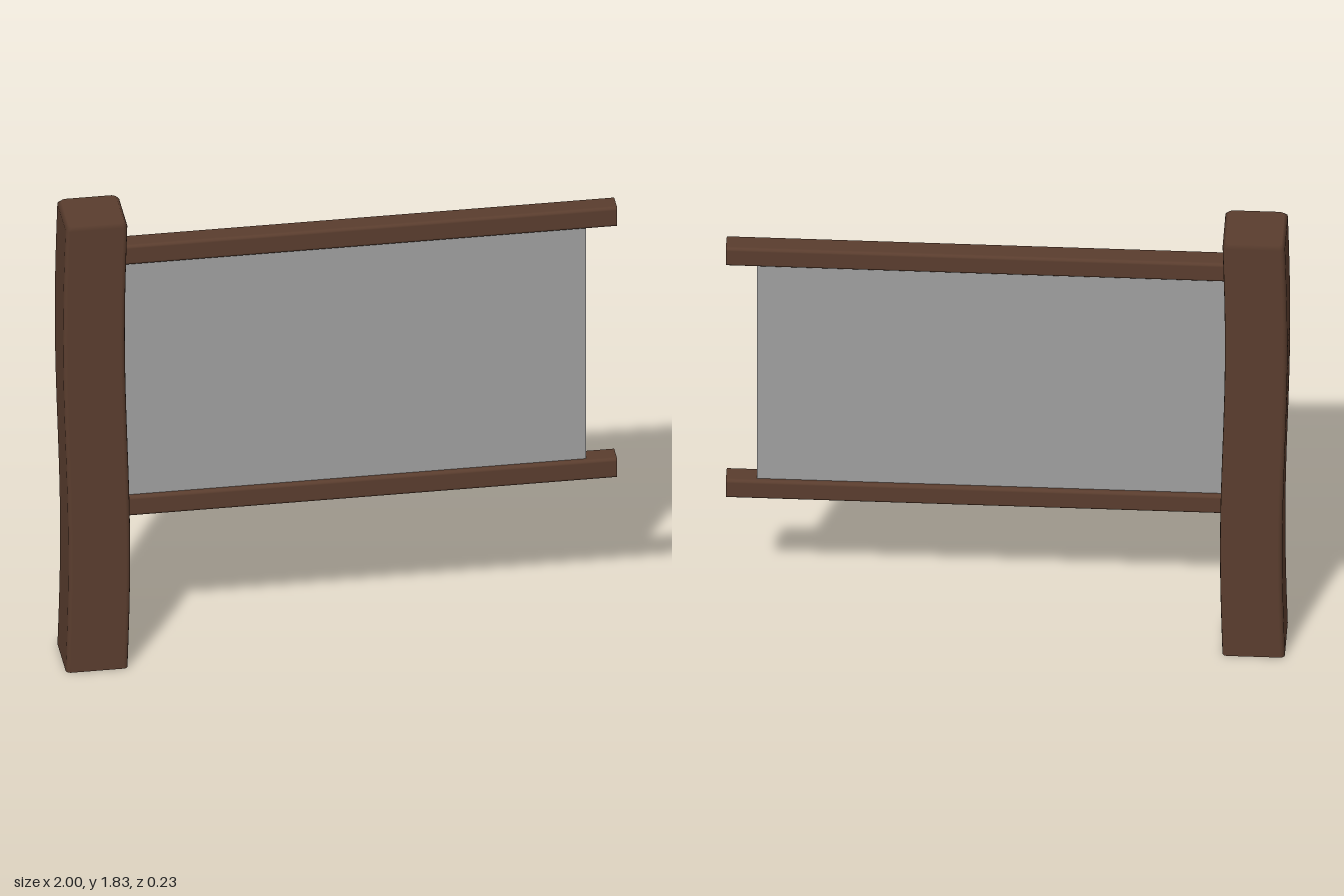
import * as THREE from 'three';

// Rounded-square tube lofted along y; rings: [y, halfWidth, centreX, centreZ, upward normal?]
function loft(rings, radius, steps = 3) {
  const pos = [], nor = [], idx = [];
  const n = 4 * (steps + 1);
  for (const [y, half, cx = 0, cz = 0, up = false] of rings) {
    const r = Math.min(radius, half);
    for (let q = 0; q < 4; q++) {
      const mid = Math.PI / 4 + q * Math.PI / 2;
      const sx = Math.sign(Math.cos(mid)), sz = Math.sign(Math.sin(mid));
      for (let s = 0; s <= steps; s++) {
        const a = (q + s / steps) * Math.PI / 2;
        const c = Math.cos(a), d = Math.sin(a);
        pos.push(cx + sx * (half - r) + c * r, y, cz + sz * (half - r) + d * r);
        nor.push(...(up ? [0, 1, 0] : [c, 0, d]));
      }
    }
  }
  for (let i = 0; i < rings.length - 1; i++) {
    for (let j = 0; j < n; j++) {
      const a = i * n + j, c = i * n + (j + 1) % n;
      idx.push(a, a + n, c, c, a + n, c + n);
    }
  }
  const g = new THREE.BufferGeometry();
  g.setAttribute('position', new THREE.Float32BufferAttribute(pos, 3));
  g.setAttribute('normal', new THREE.Float32BufferAttribute(nor, 3));
  g.setIndex(idx);
  return g;
}

export function createModel() {
  const group = new THREE.Group();
  const wood = new THREE.MeshStandardMaterial({ color: 0x5a3d2e, side: THREE.DoubleSide });
  wood.name = 'dark wood';
  const grey = new THREE.MeshStandardMaterial({ color: 0xa0a0a0 });
  grey.name = 'panel grey';

  const add = (name, geometry, material, x, y, z) => {
    const mesh = new THREE.Mesh(geometry, material);
    mesh.name = name;
    mesh.position.set(x, y, z);
    group.add(mesh);
    return mesh;
  };

  // Slightly wavy post, open underneath, with a softened flat top
  const H = 1.83, half = 0.111;
  const rings = [];
  for (let i = 0; i <= 16; i++) {
    const y = (H - 0.015) * i / 16;
    const bend = Math.sin(y / H * Math.PI * 2);
    rings.push([y, half, 0.009 * bend, 0.004 * bend]);
  }
  rings.push([H, half - 0.012, 0, 0, true], [H, 0, 0, 0, true]);
  add('post', loft(rings, 0.016), wood, -0.88, 0, -0.001);

  // Two hollow rails running out from the post
  for (const [name, y] of [['lowerRail', 0.62], ['upperRail', 1.655]]) {
    const rail = add(name, loft([[0, 0.04], [1.8, 0.04]], 0.012), wood, -0.8, y, -0.005);
    rail.rotation.z = -Math.PI / 2;
  }

  // Infill panel between the rails
  add('panel', new THREE.BoxGeometry(1.69, 0.975, 0.044), grey, 0.045, 1.1375, -0.005);
  return group;
}
